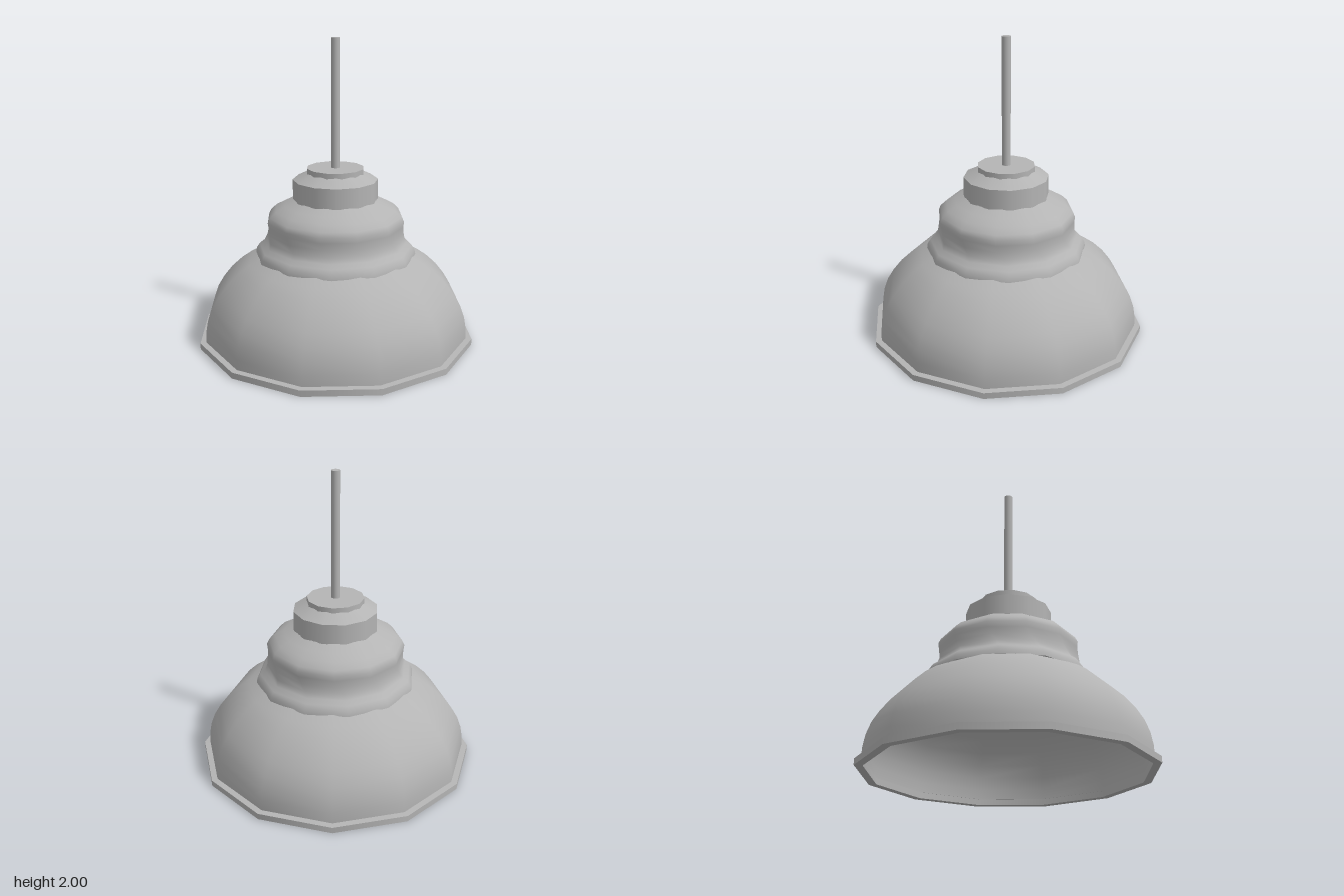
import * as THREE from 'three';

const SIDES = 12;
const deg = THREE.MathUtils.degToRad;

export function createModel() {
  const lamp = new THREE.Group();
  lamp.name = 'pendantLamp';
  const metal = new THREE.MeshStandardMaterial({ color: 0xb4b4b4, side: THREE.DoubleSide });
  metal.name = 'grey metal';

  // Smooth twelve-sided band turned from [radius, height] points
  function band(name, profile, phase, parent = lamp) {
    const points = profile.map(([r, y]) => new THREE.Vector2(r, y));
    const mesh = new THREE.Mesh(new THREE.LatheGeometry(points, SIDES, deg(phase)), metal);
    mesh.name = name;
    parent.add(mesh);
    return mesh;
  }

  // Several bands that meet at hard edges, one per pair of neighbouring points
  function hardBands(name, profile, phase) {
    const group = new THREE.Group();
    group.name = name;
    for (let i = 0; i < profile.length - 1; i++) {
      band(name + 'Face' + (i + 1), [profile[i], profile[i + 1]], phase, group);
    }
    lamp.add(group);
  }

  // Flat rim around the open bottom
  hardBands('rim', [[0.875, 0.04], [0.875, 0], [0.927, 0], [0.927, 0.04], [0.885, 0.043]], 5.5);

  // Wide domed shade, open below
  band('shade', [
    [0.888, 0.04], [0.886, 0.11], [0.872, 0.19], [0.843, 0.27], [0.798, 0.345],
    [0.735, 0.425], [0.66, 0.495], [0.59, 0.545], [0.505, 0.59],
  ], 5.5);

  // Waisted neck: its sides turn slightly between the flare and the shoulder
  const neck = band('neck', [
    [0.535, 0.575], [0.53, 0.605], [0.51, 0.637], [0.477, 0.66], [0.46, 0.695],
    [0.455, 0.74], [0.455, 0.785], [0.46, 0.82], [0.445, 0.852], [0.405, 0.89],
    [0.345, 0.922], [0.275, 0.956],
  ], 5.5);
  const { position, normal } = neck.geometry.attributes;
  const axis = new THREE.Vector3(0, 1, 0);
  const v = new THREE.Vector3();
  for (let i = 0; i < position.count; i++) {
    const turn = deg(10) * (1 - THREE.MathUtils.smoothstep(position.getY(i), 0.64, 0.8));
    for (const attribute of [position, normal]) {
      v.fromBufferAttribute(attribute, i).applyAxisAngle(axis, turn);
      attribute.setXYZ(i, v.x, v.y, v.z);
    }
  }

  // Collar with a sloping top
  hardBands('collar', [[0.281, 0.952], [0.281, 1.085], [0.185, 1.132]], 20);

  // Top disc
  hardBands('topDisc', [[0.19, 1.127], [0.19, 1.163], [0, 1.163]], 1);

  // Hanging rod
  const rod = new THREE.Mesh(new THREE.CylinderGeometry(0.029, 0.029, 0.84, 16), metal);
  rod.name = 'rod';
  rod.position.y = 1.58;
  lamp.add(rod);

  return lamp;
}
